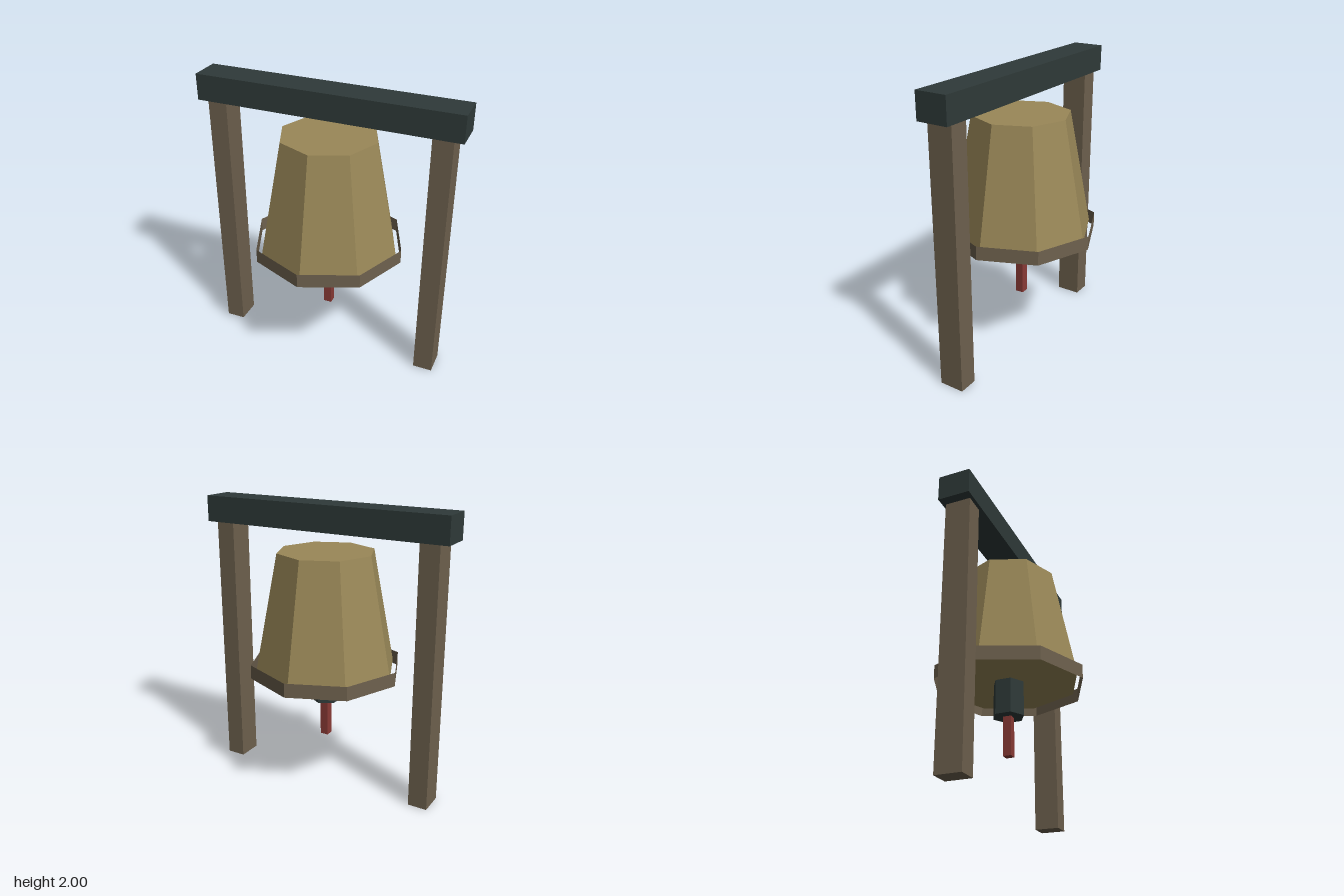
import * as THREE from 'three';

const material = (name, color, extra = {}) => {
  const m = new THREE.MeshStandardMaterial({ color, flatShading: true, ...extra });
  m.name = name;
  return m;
};

export function createModel() {
  const model = new THREE.Group();
  model.name = 'hangingBell';

  const brass = material('brass', 0x9a8858);
  const wood = material('wood', 0x6e614e);
  const rimWood = material('rimBrown', 0x6e614e, { side: THREE.DoubleSide });
  const iron = material('darkIron', 0x2f3a39);
  const red = material('red', 0x8a3a36);

  // Adds a part whose vertical extent runs from y0 to y1
  const add = (name, geometry, mat, x, y0, y1) => {
    const mesh = new THREE.Mesh(geometry, mat);
    mesh.name = name;
    mesh.position.set(x, (y0 + y1) / 2, 0);
    model.add(mesh);
  };
  const box = (name, mat, x, y0, y1, w, d) =>
    add(name, new THREE.BoxGeometry(w, y1 - y0, d), mat, x, y0, y1);
  const prism = (name, mat, y0, y1, rTop, rBottom, sides, open = false) =>
    add(name, new THREE.CylinderGeometry(rTop, rBottom, y1 - y0, sides, 1, open), mat, 0, y0, y1);

  // Frame
  box('crossBeam', iron, 0, 1.82, 2, 1.81, 0.22);
  box('leftPost', wood, 0.773, 0, 1.82, 0.135, 0.175);
  box('rightPost', wood, -0.773, 0, 1.82, 0.135, 0.175);

  // Eight-sided bell with a loose open band around its lip
  prism('bellBody', brass, 0.862, 1.68, 0.338, 0.498, 8);
  prism('bellRim', rimWood, 0.814, 0.912, 0.535, 0.535, 8, true);

  // Clapper and pull
  prism('clapper', iron, 0.615, 0.9, 0.112, 0.112, 6);
  box('pull', red, 0, 0.338, 0.63, 0.058, 0.058);

  return model;
}
